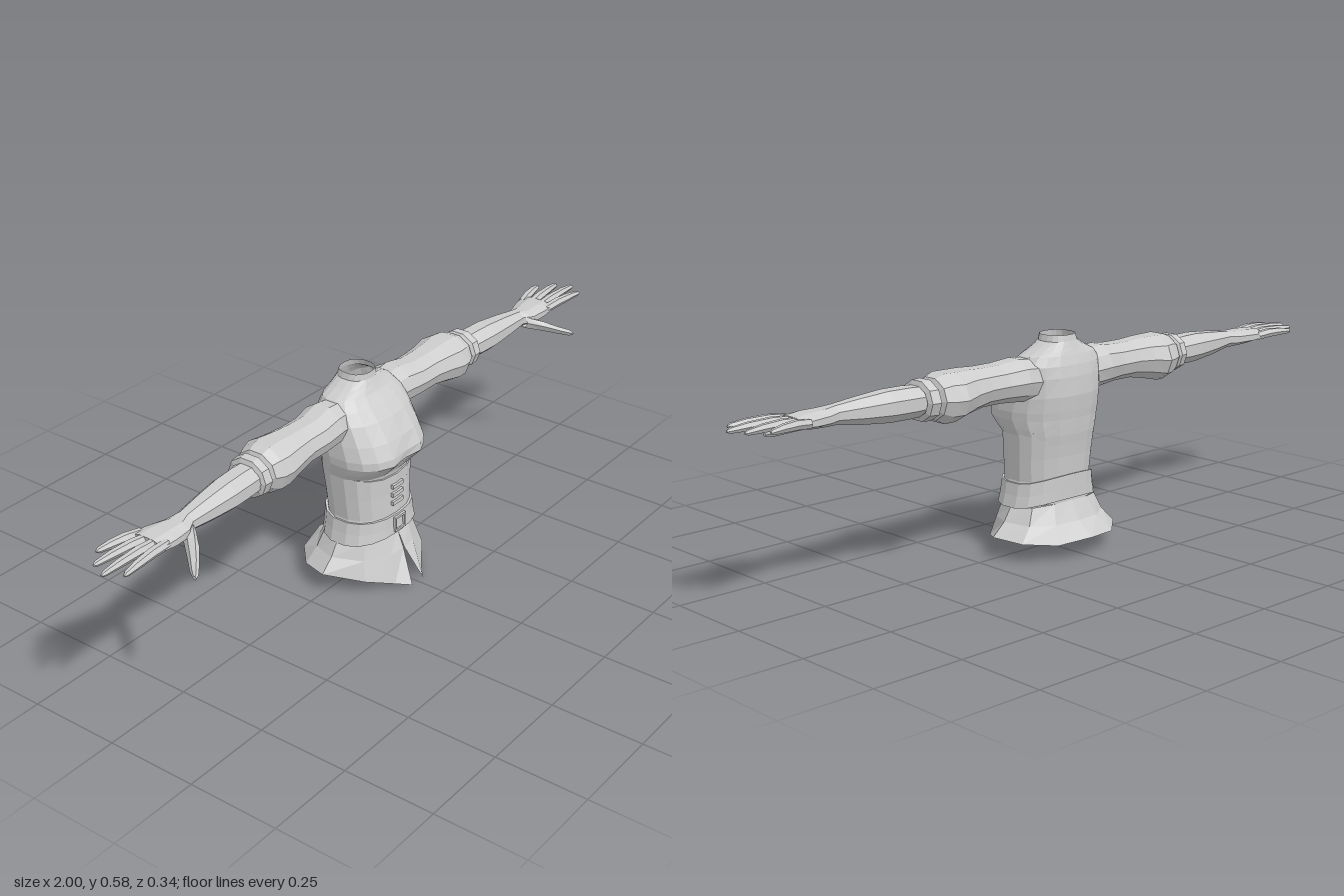
import * as THREE from 'three';

const cloth = new THREE.MeshStandardMaterial({ color: 0xcccccc, flatShading: true, side: THREE.DoubleSide });
cloth.name = 'light grey';

// Skin a list of rings of [x, y, z]; optionally cap the last ring.
function loft(name, rings, { closed = true, cap = false } = {}) {
  const n = rings[0].length;
  const pos = rings.flat(2);
  const index = [];
  for (let i = 0; i < rings.length - 1; i++) {
    for (let j = 0; j < (closed ? n : n - 1); j++) {
      const k = (j + 1) % n;
      const a = i * n + j, c = i * n + k, b = a + n, d = c + n;
      index.push(a, b, c, c, b, d);
    }
  }
  if (cap) {
    const last = (rings.length - 1) * n;
    for (let j = 1; j < n - 1; j++) index.push(last, last + j + 1, last + j);
  }
  const g = new THREE.BufferGeometry();
  g.setAttribute('position', new THREE.Float32BufferAttribute(pos, 3));
  g.setIndex(index);
  g.computeVertexNormals();
  const mesh = new THREE.Mesh(g, cloth);
  mesh.name = name;
  return mesh;
}

// Horizontal ring of the body: half width, front z, back z, centre cleft, tilt of the back.
function bodyRing([y, w, zf, zb, cleft = 0, sideLift = 0, backLift = 0], n = 18) {
  const soft = (v, p) => Math.sign(v) * Math.abs(v) ** p;
  return Array.from({ length: n }, (_, i) => {
    const a = (i / n) * Math.PI * 2, c = Math.cos(a), s = Math.sin(a);
    const z = (zf + zb) / 2 + (zf - zb) / 2 * soft(c, 0.85) - (i === 0 ? cleft : 0);
    return [w * soft(s, 0.85), y + sideLift * s * s + (c < 0 ? backLift * c * c : 0), z];
  });
}

// Limb along x from sections [x, y, z, half height, half depth].
function limb(name, side, sections, n = 8, cap = false) {
  const rings = sections.map(([x, y, z, ry, rz]) => Array.from({ length: n }, (_, i) => {
    const a = ((i + 0.5) / n) * Math.PI * 2;
    return [side * x, y + ry * Math.cos(a) * 1.06, z - side * rz * Math.sin(a) * 1.06];
  }));
  return loft(name, rings, { cap });
}

function box(name, w, h, d, x, y, z) {
  const m = new THREE.Mesh(new THREE.BoxGeometry(w, h, d), cloth);
  m.name = name;
  m.position.set(x, y, z);
  return m;
}

function createArm(side) {
  const arm = new THREE.Group();
  arm.name = side > 0 ? 'leftArm' : 'rightArm';

  // Puffed sleeve with a gathered end
  arm.add(limb('sleeve', side, [
    [0.1, 0.475, -0.03, 0.055, 0.055],
    [0.15, 0.48, -0.03, 0.055, 0.063],
    [0.21, 0.478, -0.022, 0.05, 0.06],
    [0.27, 0.478, -0.022, 0.05, 0.06],
    [0.32, 0.475, -0.022, 0.056, 0.066],
    [0.37, 0.47, -0.026, 0.062, 0.077],
    [0.4, 0.469, -0.022, 0.063, 0.07],
    [0.425, 0.471, -0.022, 0.052, 0.06],
    [0.432, 0.471, -0.018, 0.038, 0.045],
  ], 10));
  // Raised band below the sleeve
  arm.add(limb('cuff', side, [
    [0.432, 0.471, -0.02, 0.042, 0.05],
    [0.44, 0.471, -0.02, 0.051, 0.06],
    [0.465, 0.471, -0.018, 0.05, 0.057],
    [0.47, 0.471, -0.017, 0.038, 0.045],
  ], 10));
  arm.add(limb('forearm', side, [
    [0.42, 0.471, -0.018, 0.036, 0.042],
    [0.5, 0.471, -0.014, 0.04, 0.045],
    [0.56, 0.471, -0.01, 0.04, 0.044],
    [0.64, 0.471, -0.005, 0.033, 0.036],
    [0.71, 0.472, 0, 0.024, 0.028],
  ]));
  arm.add(limb('palm', side, [
    [0.71, 0.472, 0, 0.024, 0.028],
    [0.74, 0.47, 0.004, 0.022, 0.04],
    [0.79, 0.472, 0, 0.02, 0.05],
    [0.835, 0.474, -0.004, 0.014, 0.052],
  ], 8, true));

  // Four fingers: base z, tip z, tip x
  [[-0.044, -0.066, 0.935], [-0.016, -0.03, 0.98], [0.012, 0.014, 1], [0.036, 0.055, 0.97]]
    .forEach(([z0, z1, x1], i) => {
      const x0 = 0.81, at = (t, y, r) => [x0 + (x1 - x0) * t, y, z0 + (z1 - z0) * t, r, r];
      arm.add(limb('finger' + (i + 1), side,
        [at(0, 0.474, 0.012), at(0.35, 0.479, 0.0125), at(0.7, 0.479, 0.0105), at(0.95, 0.477, 0.007), at(1, 0.476, 0.003)], 6, true));
    });
  arm.add(limb('thumb', side, [
    [0.715, 0.465, 0.018, 0.018, 0.02],
    [0.75, 0.452, 0.055, 0.016, 0.024],
    [0.785, 0.435, 0.092, 0.012, 0.018],
    [0.81, 0.424, 0.116, 0.01, 0.013],
    [0.82, 0.42, 0.126, 0.005, 0.006],
  ], 6, true));
  return arm;
}

// Flared skirt with a V slit at the front; each row is half of a ring.
function createSkirt() {
  const rows = [
    [[0, 0.14, 0.1], [0.05, 0.138, 0.098], [0.1, 0.135, 0.07], [0.137, 0.13, 0], [0.115, 0.135, -0.06], [0.06, 0.14, -0.086], [0, 0.143, -0.092]],
    [[0.002, 0.092, 0.122], [0.05, 0.09, 0.115], [0.118, 0.088, 0.076], [0.16, 0.095, 0], [0.135, 0.09, -0.07], [0.075, 0.09, -0.108], [0, 0.092, -0.118]],
    [[0.024, 0.002, 0.169], [0.06, 0.012, 0.138], [0.13, 0.035, 0.09], [0.2, 0.06, 0], [0.17, 0.051, -0.08], [0.1, 0.047, -0.143], [0, 0.055, -0.168]],
  ];
  const rings = rows.map(r => [...r, ...r.slice(0, -1).reverse().map(([x, y, z]) => [-x, y, z])]);
  return loft('skirt', rings, { closed: false });
}

export function createModel() {
  const model = new THREE.Group();
  model.name = 'torso';

  // Neck, shoulders, chest
  model.add(loft('bodice', [
    [0.585, 0.045, 0.01, -0.08],
    [0.568, 0.05, 0.012, -0.084],
    [0.552, 0.078, 0.02, -0.09],
    [0.535, 0.115, 0.03, -0.097],
    [0.51, 0.134, 0.055, -0.106],
    [0.48, 0.14, 0.082, -0.112],
    [0.43, 0.144, 0.115, -0.115, 0.004],
    [0.39, 0.146, 0.135, -0.111, 0.01],
    [0.368, 0.144, 0.137, -0.108, 0.014],
    [0.345, 0.138, 0.116, -0.106, 0.008],
    [0.325, 0.131, 0.096, -0.104],
    [0.3, 0.126, 0.09, -0.1],
  ].map(r => bodyRing(r))));

  // Waist corset with an upper edge that rises towards the back
  model.add(loft('corset', [
    [0.314, 0.127, 0.088, -0.1, 0, 0.018, 0.04],
    [0.312, 0.132, 0.097, -0.106, 0, 0.018, 0.04],
    [0.26, 0.126, 0.096, -0.095, 0, 0, 0.005],
    [0.2, 0.121, 0.098, -0.09],
    [0.14, 0.135, 0.1, -0.092],
  ].map(r => bodyRing(r))));

  model.add(loft('belt', [
    [0.196, 0.12, 0.095, -0.088, 0, -0.002, 0.018],
    [0.196, 0.127, 0.105, -0.097, 0, -0.002, 0.02],
    [0.165, 0.133, 0.106, -0.097, 0, -0.004, 0.012],
    [0.14, 0.141, 0.108, -0.097, 0, -0.01, 0.01],
    [0.142, 0.133, 0.098, -0.09, 0, -0.01, 0.01],
  ].map(r => bodyRing(r))));

  model.add(createSkirt());

  // Front clasps and belt buckle frame
  for (const y of [0.23, 0.255, 0.28]) model.add(box('clasp', 0.045, 0.011, 0.009, 0, y, 0.098));
  for (const s of [-1, 1]) {
    model.add(box('buckleSide', 0.006, 0.042, 0.008, s * 0.02, 0.168, 0.107));
    model.add(box('buckleBar', 0.046, 0.006, 0.008, 0, 0.168 + s * 0.019, 0.107));
    model.add(createArm(s));
  }
  return model;
}
